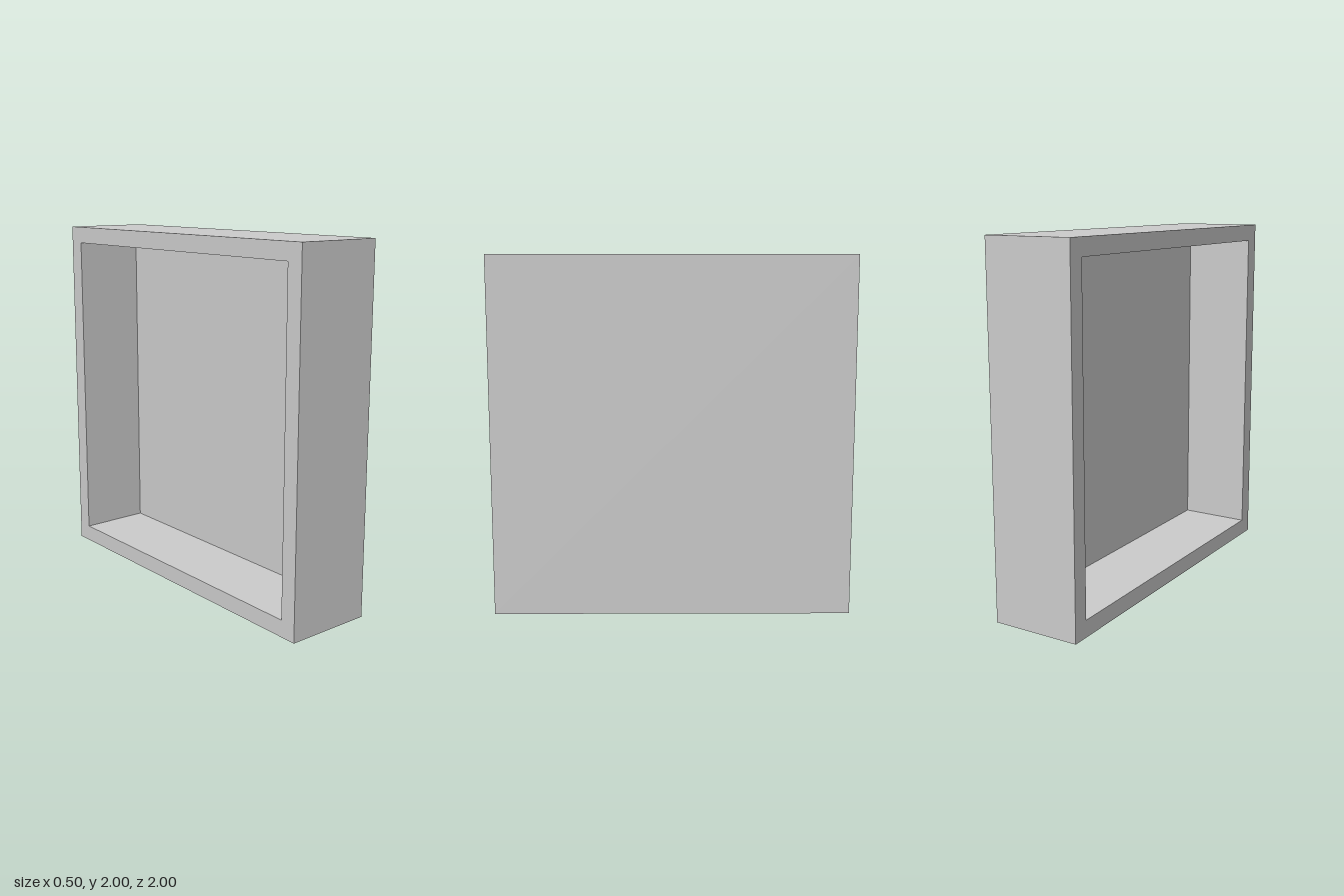
import * as THREE from 'three';

const SIZE = 2, DEPTH = 0.5, WALL = 0.094;

export function createModel() {
  const model = new THREE.Group();
  model.name = 'openBox';

  // Tray cross-section from the centre of the base, round the wall, to the centre of the floor
  const outer = SIZE / 2, inner = outer - WALL, h = DEPTH / 2;
  const profile = [
    [0, -h], [outer, -h], [outer, h], [inner, h], [inner, -h + WALL], [0, -h + WALL],
  ].map(([r, y]) => new THREE.Vector2(r * Math.SQRT2, y));

  // Four-sided lathe gives a square tray; turn it so the opening faces -x
  const geometry = new THREE.LatheGeometry(profile, 4, Math.PI / 4)
    .rotateZ(Math.PI / 2)
    .translate(0, SIZE / 2, 0)
    .toNonIndexed();
  geometry.computeVertexNormals();

  const tray = new THREE.Mesh(
    geometry,
    new THREE.MeshStandardMaterial({ color: 0xcccccc, flatShading: true }),
  );
  tray.name = 'tray';
  model.add(tray);
  return model;
}
